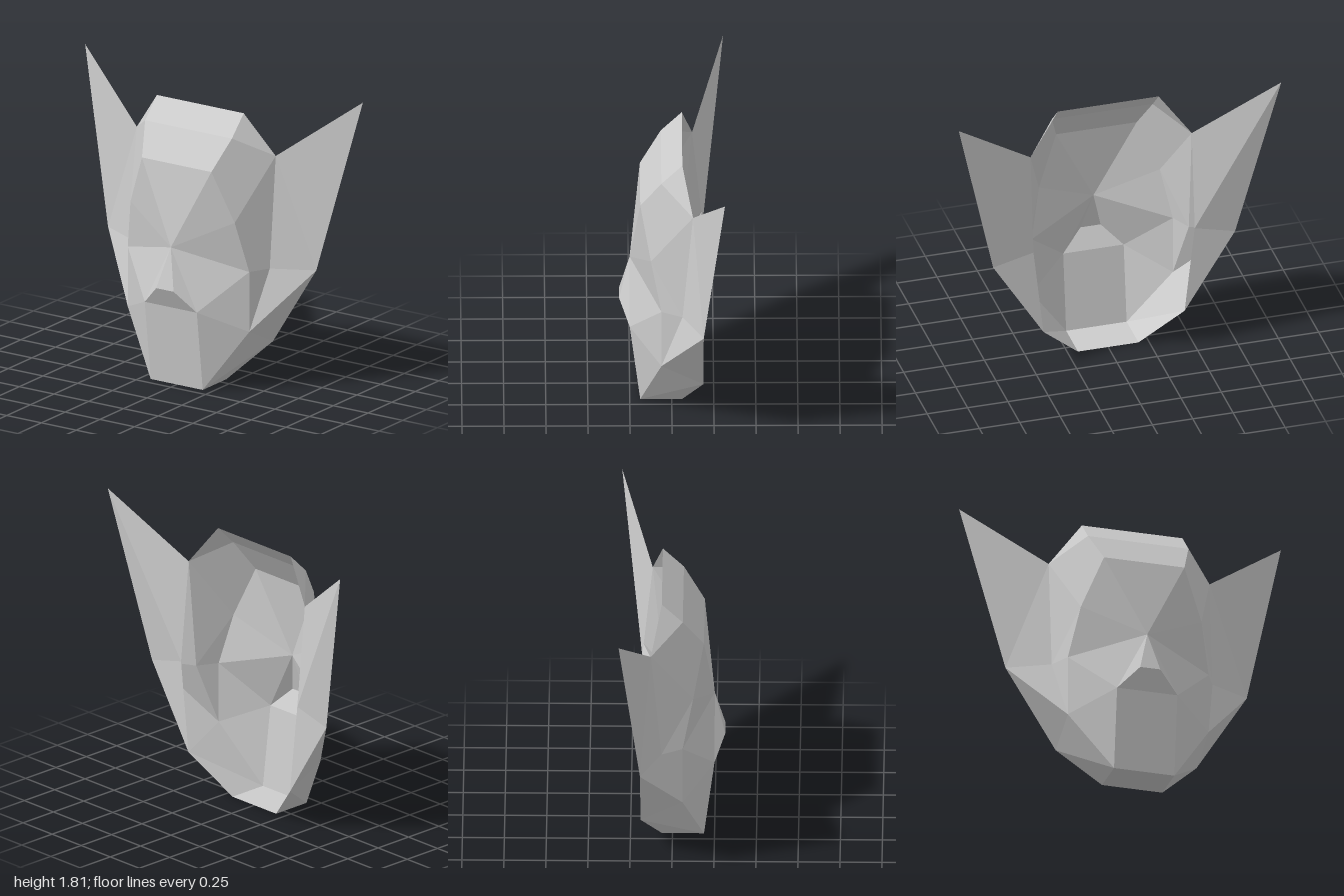
import * as THREE from 'three';

// Corner points of the model's left half (+x); a trailing "_" means the mirrored corner.
const P = {
  browTop: [0.3125, 1.6875, -0.0625],
  browMid: [0.3125, 1.5625, 0.0625],
  browLow: [0.25, 1.375, 0.1875],
  bridge: [0, 0.875, 0.25],
  nose: [0.0625, 0.625, 0.3125],
  lip: [0.1875, 0.5, 0.25],
  chin: [0.1875, 0, 0.1875],
  chinBack: [0.1875, 0, -0.0625],
  eye: [0.375, 1.0625, 0.125],
  cheek: [0.4375, 0.75, 0.0625],
  temple: [0.5, 1.4375, -0.125],
  earRoot: [0.5, 0.75, -0.0625],
  earBack: [0.5, 0.8125, -0.1875],
  earLobe: [0.75, 0.75, -0.1875],
  earTip: [1, 1.8125, -0.3125],
  jaw: [0.4375, 0.375, 0.0625],
  jawBack: [0.4375, 0.25, -0.1875],
};

function corner(name) {
  if (!name.endsWith('_')) return P[name];
  const [x, y, z] = P[name.slice(0, -1)];
  return [-x, y, z];
}

// Faces are space-separated corner names, counter-clockwise from outside.
function facets(faces, mirrored) {
  const pos = [];
  for (const face of faces) {
    const c = face.split(' ').map(corner);
    for (let i = 1; i < c.length - 1; i++) {
      const tri = [c[0], c[i], c[i + 1]];
      if (mirrored) tri.reverse();
      for (const [x, y, z] of tri) pos.push(mirrored ? -x : x, y, z);
    }
  }
  const geo = new THREE.BufferGeometry();
  geo.setAttribute('position', new THREE.Float32BufferAttribute(pos, 3));
  geo.computeVertexNormals();
  return geo;
}

// Parts that span the centre line
const centreParts = {
  forehead: [
    'browTop_ browMid_ browMid browTop',
    'browMid_ browLow_ browLow browMid',
    'browLow_ bridge browLow',
  ],
  nose: ['bridge nose_ nose', 'nose_ lip_ lip nose'],
  mouth: ['lip_ chin_ chin lip'],
  chinBase: ['chin_ chinBack_ chinBack chin'],
};

// Parts that are mirrored left and right
const sideParts = {
  Temple: [
    'browTop browMid temple', 'browMid browLow temple', 'browLow eye temple',
    'eye earRoot temple', 'eye cheek earRoot', 'cheek jaw earRoot',
  ],
  Eye: ['browLow bridge eye', 'bridge cheek eye'],
  Cheek: ['bridge nose lip', 'bridge lip cheek', 'lip jaw cheek', 'lip chin jaw'],
  Ear: [
    'temple earRoot earLobe', 'temple earLobe earTip', 'earRoot jaw earLobe',
    'temple earTip earBack', 'earBack earTip earLobe', 'earBack earLobe jawBack',
  ],
  Jaw: ['jaw jawBack earLobe', 'jaw chin jawBack', 'chin chinBack jawBack'],
};

export function createModel() {
  const model = new THREE.Group();
  model.name = 'mask';

  const grey = new THREE.MeshStandardMaterial({ color: 0xcccccc, flatShading: true, side: THREE.DoubleSide });
  grey.name = 'light grey';

  const add = (name, faces, mirrored = false) => {
    const mesh = new THREE.Mesh(facets(faces, mirrored), grey);
    mesh.name = name;
    model.add(mesh);
  };

  for (const [name, faces] of Object.entries(centreParts)) add(name, faces);
  for (const [name, faces] of Object.entries(sideParts)) {
    add('left' + name, faces);
    add('right' + name, faces, true);
  }
  return model;
}
